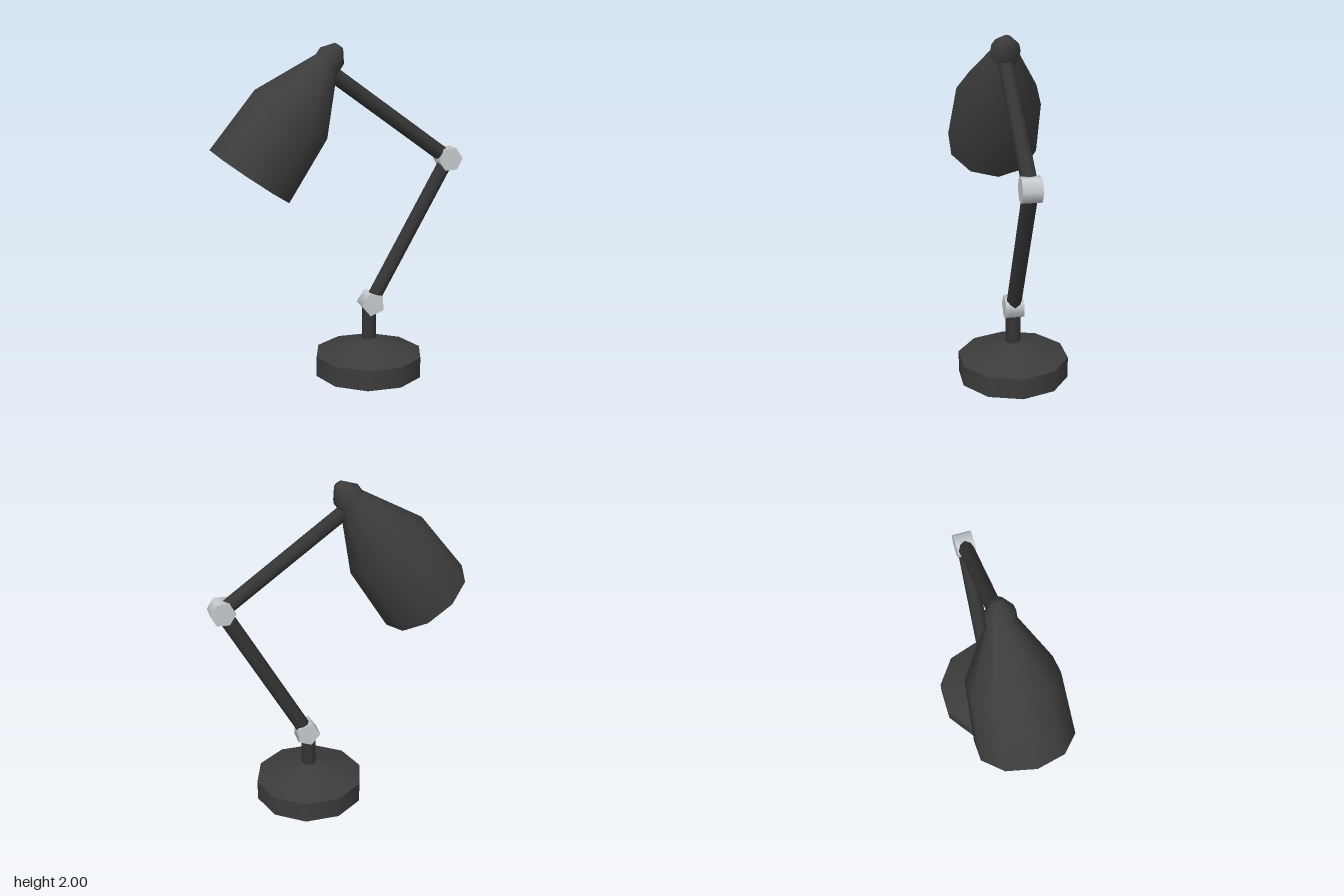
import * as THREE from 'three';

export function createModel() {
  const group = new THREE.Group();
  const mat = (name, color, side = THREE.FrontSide) => {
    const m = new THREE.MeshStandardMaterial({ color, side });
    m.name = name;
    return m;
  };
  const black = mat('black paint', 0x3c3c3c, THREE.DoubleSide);
  const dark = mat('dark tube', 0x353535);
  const silver = mat('silver', 0xc8ccd0);

  const add = (name, geometry, material, parent = group) => {
    const mesh = new THREE.Mesh(geometry, material);
    mesh.name = name;
    parent.add(mesh);
    return mesh;
  };
  // Ten-sided turned shape with a corner on the x axis
  const turned = (points) =>
    new THREE.LatheGeometry(points.map(([r, y]) => new THREE.Vector2(r, y)), 10, Math.PI / 2);

  // Base: upright rim with a shallow sloping top
  const base = new THREE.Group();
  base.name = 'base';
  base.position.x = 0.19;
  group.add(base);
  add('baseRim', new THREE.CylinderGeometry(0.33, 0.33, 0.125, 10, 1, false, Math.PI / 2), black, base)
    .position.y = 0.0625;
  add('baseSlope', turned([[0.33, 0.125], [0.05, 0.217], [0, 0.217]]), black, base);

  // Tubes between the joints
  const tube = (name, from, to) => {
    const a = new THREE.Vector3(...from, 0);
    const b = new THREE.Vector3(...to, 0);
    const dir = b.clone().sub(a);
    const mesh = add(name, new THREE.CylinderGeometry(0.045, 0.045, dir.length(), 8), dark);
    mesh.position.copy(a).add(b).multiplyScalar(0.5);
    mesh.quaternion.setFromUnitVectors(new THREE.Vector3(0, 1, 0), dir.normalize());
  };
  const low = [0.204, 0.44];
  const elbow = [0.682, 1.305];
  tube('post', [0.192, 0.19], [0.192, 0.42]);
  tube('lowerArm', low, elbow);
  tube('upperArm', elbow, [-0.03, 1.823]);

  // Joints: short prisms lying along z
  const joint = (name, [x, y], sides, angle) => {
    const geometry = new THREE.CylinderGeometry(0.074, 0.074, 0.11, sides, 1, false, Math.PI / 2);
    geometry.rotateX(Math.PI / 2);
    const mesh = add(name, geometry, silver);
    mesh.position.set(x, y, 0);
    mesh.rotation.z = angle;
  };
  joint('lowerJoint', low, 5, Math.PI + 0.06);
  joint('elbowJoint', elbow, 6, 0.05);

  // Lamp head, built upright from its opening and then tilted
  const head = new THREE.Group();
  head.name = 'lampHead';
  head.position.set(-0.526, 1.257, 0);
  head.rotation.z = -0.617;
  group.add(head);
  add('shade', turned([[0.2826, 0], [0.258, 0.422], [0.08, 0.78]]), black, head);
  add('shadeCap', turned([[0.085, 0.7], [0.085, 0.83], [0.03, 0.9], [0, 0.9]]), black, head)
    .position.x = 0.007;
  // Bulb and its socket
  add('bulb', new THREE.SphereGeometry(0.1, 12, 8), silver, head).position.y = 0.09;
  add('bulbSocket', new THREE.CylinderGeometry(0.05, 0.06, 0.55, 10), dark, head).position.y = 0.43;

  return group;
}
